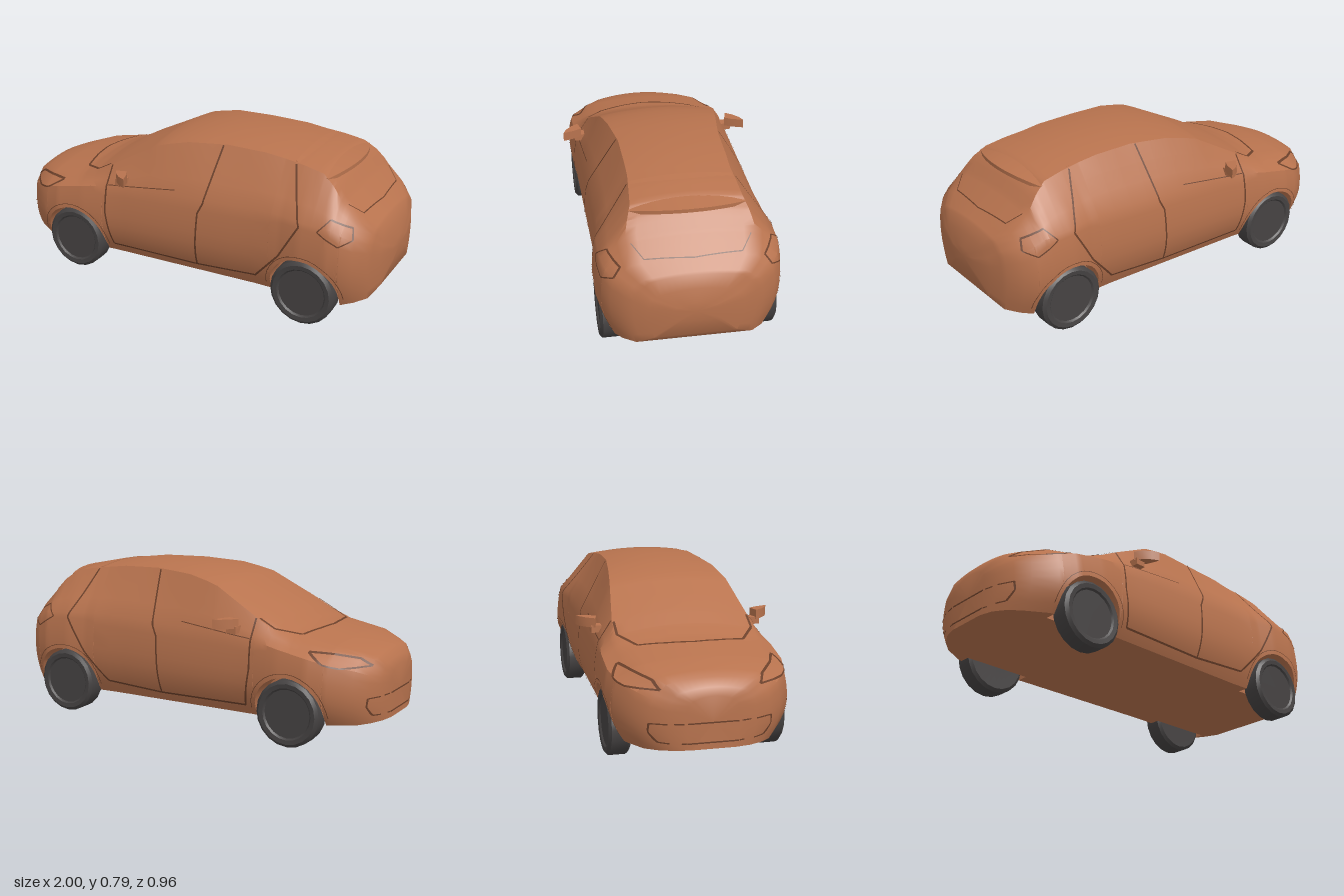
import * as THREE from 'three';
import { toCreasedNormals } from 'three/addons/utils/BufferGeometryUtils.js';

const paint = new THREE.MeshStandardMaterial({ color: 0xb8734e });
paint.name = 'body paint';
const rubber = new THREE.MeshStandardMaterial({ color: 0x464343 });
rubber.name = 'wheel grey';
const gap = new THREE.MeshStandardMaterial({ color: 0x6b402a, side: THREE.DoubleSide });
gap.name = 'panel gap';

// Piecewise linear curve along the car (nose at x = -1, tail at x = 1)
const curve = (pts) => (x) => {
  let i = 1;
  while (i < pts.length - 1 && x > pts[i][0]) i++;
  const [a, b] = [pts[i - 1], pts[i]];
  return THREE.MathUtils.lerp(a[1], b[1], THREE.MathUtils.clamp((x - a[0]) / (b[0] - a[0]), 0, 1));
};

const widthPts = [[-1, 0.12], [-0.985, 0.2], [-0.95, 0.275], [-0.9, 0.335], [-0.8, 0.405], [-0.7, 0.43], [-0.55, 0.43],
  [-0.4, 0.415], [0.4, 0.405], [0.55, 0.412], [0.65, 0.43], [0.78, 0.43], [0.85, 0.41], [0.9, 0.375], [0.95, 0.31], [0.98, 0.22], [1, 0.1]];
const topPts = [[-1, 0.37], [-0.985, 0.405], [-0.95, 0.44], [-0.9, 0.46], [-0.8, 0.49], [-0.6, 0.53], [-0.5, 0.57], [-0.4, 0.625],
  [-0.17, 0.735], [0, 0.772], [0.2, 0.785], [0.4, 0.78], [0.6, 0.755], [0.7, 0.735], [0.76, 0.69], [0.82, 0.62], [0.9, 0.545], [0.96, 0.49], [0.98, 0.43], [1, 0.37]];
const width = curve(widthPts);
const top = curve(topPts);
const edgeZ = curve([[-1, 0.09], [-0.985, 0.15], [-0.95, 0.2], [-0.8, 0.3], [-0.5, 0.335], [-0.4, 0.33], [-0.1, 0.285],
  [0.2, 0.245], [0.5, 0.24], [0.7, 0.255], [0.8, 0.29], [0.9, 0.28], [0.95, 0.23], [0.98, 0.16], [1, 0.07]]);
const drop = curve([[-1, 0.02], [-0.8, 0.03], [-0.5, 0.04], [-0.4, 0.04], [-0.1, 0.022], [1, 0.02]]);
const shoulderY = curve([[-1, 0.33], [-0.9, 0.38], [-0.7, 0.43], [-0.5, 0.47], [-0.3, 0.5], [0.5, 0.53], [0.8, 0.51], [0.95, 0.43], [1, 0.345]]);
const bulgeY = curve([[-1, 0.26], [-0.5, 0.3], [0.7, 0.34], [0.95, 0.33], [1, 0.32]]);
const floorY = curve([[-1, 0.13], [-0.9, 0.12], [0.85, 0.12], [0.95, 0.14], [0.98, 0.18], [1, 0.27]]);

// Half width of the body side at a given height
function sideZ(x, y) {
  const w = width(x), b = floorY(x), m = bulgeY(x), s = shoulderY(x), e = top(x) - drop(x);
  const clamp = THREE.MathUtils.clamp;
  if (y <= m) return w * (1 - 0.14 * clamp((m - y) / (m - b), 0, 1) ** 2);
  if (y <= s) return w * (1 - 0.05 * ((y - m) / (s - m)) ** 2);
  return THREE.MathUtils.lerp(w * 0.95, edgeZ(x), clamp((y - s) / (e - s), 0, 1));
}
const roofY = (x, z) => top(x) - drop(x) * Math.min(1, Math.abs(z) / edgeZ(x)) ** 2;

const axles = [-0.605, 0.67];
const archR = 0.175;
function lipY(x) {
  for (const c of axles) {
    const d = Math.abs(x - c);
    if (d <= archR) return 0.16 + Math.sqrt(archR * archR - d * d);
  }
  return floorY(x);
}

// One closed cross-section: floor, wheel well, side, roof, then mirrored
function section(x) {
  const half = [], lip = lipY(x), s = shoulderY(x), e = top(x) - drop(x), f = floorY(x);
  const inner = Math.min(0.3, sideZ(x, f) * 0.9);
  half.push([f, 0], [f, inner], [lip, inner]);
  for (let i = 0; i <= 7; i++) {
    const y = THREE.MathUtils.lerp(lip, s, i / 7);
    half.push([y, sideZ(x, y)]);
  }
  for (let i = 1; i <= 3; i++) {
    const y = THREE.MathUtils.lerp(s, e, i / 3);
    half.push([y, sideZ(x, y)]);
  }
  for (let i = 5; i >= 0; i--) half.push([roofY(x, edgeZ(x) * i / 6), edgeZ(x) * i / 6]);
  return half.concat(half.slice(1, -1).reverse().map(([y, z]) => [y, -z]));
}

function bodyGeometry() {
  const xs = [...widthPts, ...topPts].map((p) => p[0]);
  for (let i = 1; i < 20; i++) xs.push(-1 + i / 10);
  for (const c of axles) {
    for (let i = 0; i <= 14; i++) xs.push(c - (archR - 1e-5) * Math.cos(Math.PI * i / 14));
    xs.push(c - archR - 0.0005, c + archR + 0.0005);
  }
  const stations = [...new Set(xs)].sort((a, b) => a - b);
  const pos = [], idx = [];
  const n = section(0).length;
  stations.forEach((x, i) => {
    for (const [y, z] of section(x)) pos.push(x, y, z);
    if (!i) return;
    for (let j = 0; j < n; j++) {
      const k = (j + 1) % n, a = (i - 1) * n, b = i * n;
      idx.push(a + j, b + j, a + k, a + k, b + j, b + k);
    }
  });
  const last = (stations.length - 1) * n, c = pos.length / 3;
  pos.push(-1, 0.25, 0, 1, 0.32, 0);
  for (let j = 0; j < n; j++) {
    const k = (j + 1) % n;
    idx.push(c, j, k, c + 1, last + k, last + j);
  }
  const g = new THREE.BufferGeometry();
  g.setAttribute('position', new THREE.Float32BufferAttribute(pos, 3));
  g.setIndex(idx);
  return toCreasedNormals(g, 0.6);
}

// Thin strip laid on the surface; project maps a 2D path point to the body
function strip(path, w, project) {
  const pos = [], idx = [];
  for (let i = 1; i < path.length; i++) {
    const a = new THREE.Vector2(...path[i - 1]), b = new THREE.Vector2(...path[i]);
    const d = b.clone().sub(a).normalize();
    const steps = Math.max(1, Math.ceil(a.distanceTo(b) / 0.02));
    for (let k = 0; k <= steps; k++) {
      const p = a.clone().lerp(b, k / steps), v = pos.length / 3;
      pos.push(...project(p.x - d.y * w / 2, p.y + d.x * w / 2), ...project(p.x + d.y * w / 2, p.y - d.x * w / 2));
      if (k) idx.push(v - 2, v - 1, v, v, v - 1, v + 1);
    }
  }
  const g = new THREE.BufferGeometry();
  g.setAttribute('position', new THREE.Float32BufferAttribute(pos, 3));
  g.setIndex(idx);
  g.computeVertexNormals();
  return g;
}

export function createModel() {
  const car = new THREE.Group();
  const add = (name, geo, mat, x = 0, y = 0, z = 0) => {
    const m = new THREE.Mesh(geo, mat);
    m.name = name;
    m.position.set(x, y, z);
    car.add(m);
  };
  add('body', bodyGeometry(), paint);

  // Roof spoiler overhanging the rear window
  const spoiler = new THREE.BoxGeometry(1, 1, 2, 4, 1, 10);
  const p = spoiler.attributes.position;
  for (let i = 0; i < p.count; i++) {
    const u = p.getX(i) + 0.5, v = p.getZ(i);
    const y = 0.764 - 0.046 * u - 0.02 * v * v - (p.getY(i) < 0 ? 0.018 : 0);
    p.setXYZ(i, 0.55 + u * (0.235 - 0.06 * v * v), y, v * (0.235 + 0.03 * u));
  }
  add('spoiler', toCreasedNormals(spoiler, 0.6), paint);

  // Seams and lamp outlines on the sides
  const lines = {
    doorSeam: [0.009, [[-0.405, 0.58], [-0.41, 0.35], [-0.38, 0.17], [0.1, 0.165], [0.42, 0.185], [0.55, 0.33], [0.65, 0.5], [0.6, 0.62], [0.56, 0.735]]],
    middleSeam: [0.009, [[0.18, 0.76], [0.14, 0.5], [0.115, 0.45], [0.1, 0.165]]],
    beltLine: [0.004, [[-0.4, 0.492], [-0.02, 0.535]]],
    headlight: [0.007, [[-0.95, 0.395], [-0.9, 0.428], [-0.8, 0.45], [-0.69, 0.457], [-0.77, 0.41], [-0.84, 0.393], [-0.95, 0.395]]],
    tailLamp: [0.006, [[0.74, 0.495], [0.79, 0.55], [0.88, 0.51], [0.895, 0.465], [0.84, 0.437], [0.74, 0.495]]],
    intakeEdge: [0.006, [[-0.999, 0.25], [-0.95, 0.25], [-0.945, 0.21], [-0.96, 0.165], [-0.999, 0.16]]],
  };
  for (const c of axles) {
    const arc = [];
    for (let i = 0; i <= 16; i++) arc.push([c + 0.195 * Math.cos(Math.PI * i / 16), 0.16 + 0.195 * Math.sin(Math.PI * i / 16)]);
    lines['archLine' + (c < 0 ? 'Front' : 'Rear')] = [0.003, arc];
  }
  for (const s of [1, -1]) {
    const side = s > 0 ? 'Left' : 'Right';
    for (const [name, [w, path]] of Object.entries(lines)) {
      add(name + side, strip(path, w, (x, y) => [x, y, s * (sideZ(x, y) + 0.004)]), gap);
    }

    // Door mirror: swept housing on a short stem
    const plan = new THREE.Shape([[-0.345, 0.4], [-0.29, 0.385], [-0.27, 0.42], [-0.25, 0.48], [-0.285, 0.465], [-0.32, 0.435]]
      .map(([x, z]) => new THREE.Vector2(x, s * z)));
    const housing = new THREE.ExtrudeGeometry(plan, { depth: 0.046, bevelEnabled: false });
    housing.rotateX(Math.PI / 2);
    add('mirror' + side, toCreasedNormals(housing, 0.6), paint, 0, 0.582, 0);
    add('mirrorStem' + side, new THREE.BoxGeometry(0.05, 0.035, 0.05), paint, -0.315, 0.528, s * 0.393);

    // Wheels with a recessed disc
    const profile = [[0, -0.05], [0.145, -0.0525], [0.16, -0.04], [0.16, 0.04], [0.145, 0.0525], [0.124, 0.05], [0.116, 0.042], [0, 0.042]];
    const wheel = new THREE.LatheGeometry(profile.map(([r, h]) => new THREE.Vector2(r, h)), 20);
    wheel.rotateX(s * Math.PI / 2);
    const wheelGeo = toCreasedNormals(wheel, 0.5);
    axles.forEach((x, i) => add((i ? 'rear' : 'front') + 'Wheel' + side, wheelGeo, rubber, x, 0.16, s * 0.3625));
  }
  for (const y of [0.25, 0.16]) add('intakeEdgeMiddle', new THREE.BoxGeometry(0.004, 0.006, 0.23), gap, -1, y, 0);

  // Lines across the top: windscreen base and rear window base
  const across = (half) => [...half, ...half.slice(0, -1).reverse().map(([x, z]) => [x, -z])];
  const onTop = (x, z) => [x, roofY(x, z) + 0.004, z];
  add('windscreenSeam', strip(across([[-0.42, 0.325], [-0.5, 0.325], [-0.61, 0.25], [-0.64, 0.12], [-0.655, 0]]), 0.012, onTop), gap);
  add('rearWindowSeam', strip(across([[0.83, 0.27], [0.89, 0.22], [0.905, 0]]), 0.004, onTop), gap);
  return car;
}
